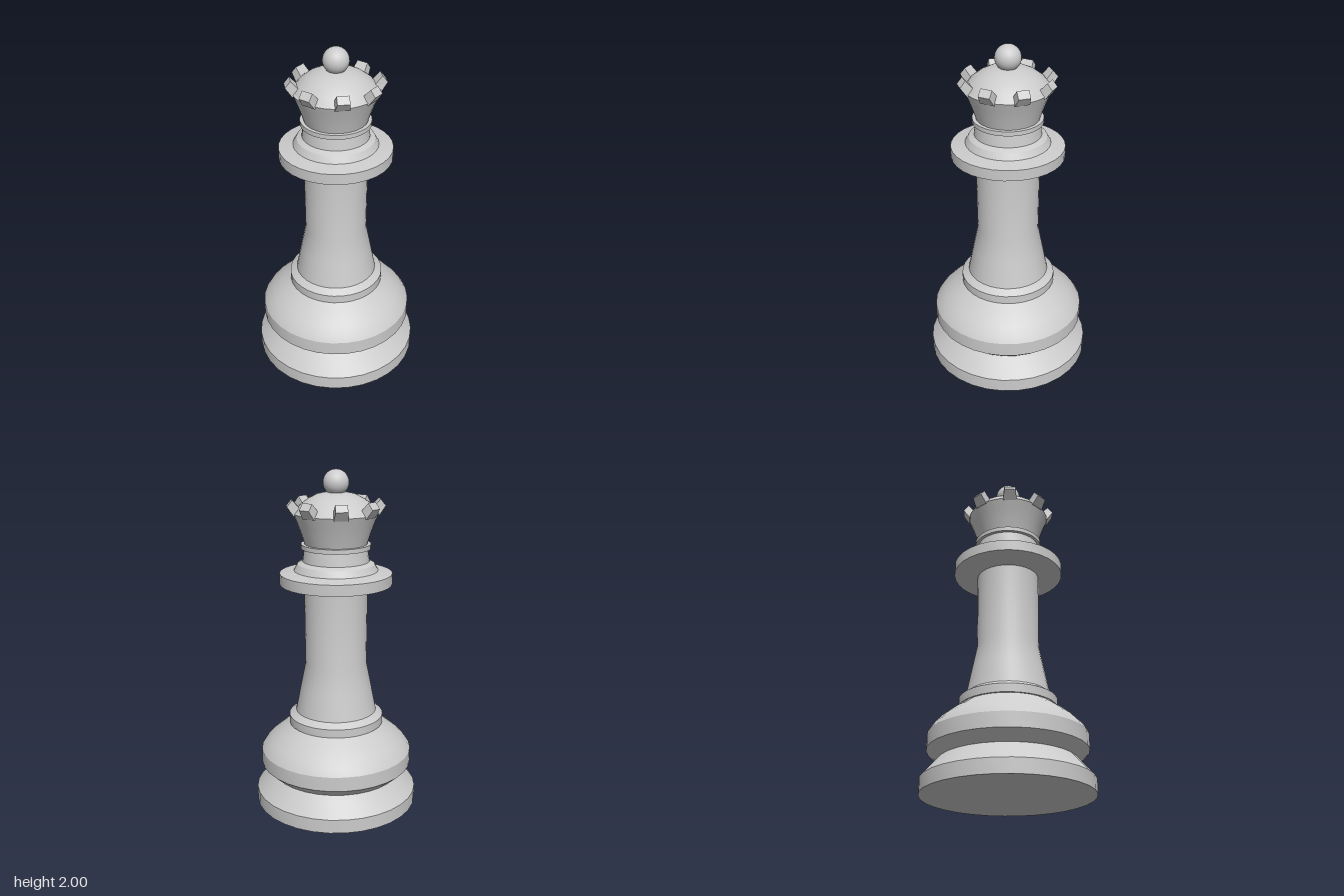
import * as THREE from 'three';
import { toCreasedNormals } from 'three/addons/utils/BufferGeometryUtils.js';

const SEGMENTS = 32;
const material = new THREE.MeshStandardMaterial({ color: 0xcccccc });

function addMesh(parent, name, geometry) {
  const mesh = new THREE.Mesh(geometry, material);
  mesh.name = name;
  parent.add(mesh);
  return mesh;
}

// Turned part from [radius, height] pairs, listed bottom to top
function addTurned(parent, name, profile) {
  const points = profile.map(([r, y]) => new THREE.Vector2(r, y));
  return addMesh(parent, name, toCreasedNormals(new THREE.LatheGeometry(points, SEGMENTS), 0.5));
}

// Tapered crown tooth: a box whose corners are moved to an outward-leaning block
function toothGeometry() {
  const geometry = new THREE.BoxGeometry(1, 1, 1);
  const pos = geometry.attributes.position;
  for (let i = 0; i < pos.count; i++) {
    const upper = pos.getY(i) > 0;
    const outer = pos.getZ(i) > 0;
    const side = Math.sign(pos.getX(i));
    const halfWidth = upper ? 0.034 : 0.042;
    const [r, y] = upper
      ? (outer ? [0.279, 1.797] : [0.249, 1.834])
      : (outer ? [0.242, 1.745] : [0.19, 1.77]);
    pos.setXYZ(i, side * halfWidth, y, r);
  }
  const flat = geometry.toNonIndexed();
  flat.computeVertexNormals();
  return flat;
}

export function createModel() {
  const queen = new THREE.Group();
  queen.name = 'chessQueen';

  // Foot and rounded base
  addTurned(queen, 'foot', [[0, 0], [0.485, 0], [0.485, 0.083], [0.39, 0.19]]);
  addTurned(queen, 'base', [
    [0.39, 0.19], [0.452, 0.247], [0.452, 0.333], [0.43, 0.368],
    [0.39, 0.41], [0.335, 0.455], [0.27, 0.5],
  ]);
  addTurned(queen, 'baseRing', [[0.27, 0.5], [0.281, 0.5], [0.281, 0.55], [0.24, 0.578]]);

  // Flared stem
  addTurned(queen, 'stem', [[0.24, 0.578], [0.21, 0.73], [0.181, 0.875], [0.184, 1.335]]);

  // Collar, stepped neck and thin ring
  addTurned(queen, 'collar', [
    [0.18, 1.33], [0.235, 1.33], [0.325, 1.35], [0.325, 1.414], [0.243, 1.43],
  ]);
  addTurned(queen, 'neck', [
    [0.243, 1.43], [0.222, 1.468], [0.192, 1.483], [0.182, 1.556],
  ]);
  addTurned(queen, 'neckRing', [
    [0.17, 1.556], [0.201, 1.556], [0.201, 1.582], [0.18, 1.582],
  ]);

  // Flaring crown with a domed top
  addTurned(queen, 'crown', [
    [0.18, 1.582], [0.198, 1.64], [0.22, 1.7], [0.243, 1.757], [0.234, 1.765],
  ]);
  addTurned(queen, 'dome', [
    [0.234, 1.765], [0.205, 1.802], [0.16, 1.836], [0.11, 1.861], [0.06, 1.872], [0, 1.875],
  ]);

  // Ring of eight teeth around the crown
  const teeth = new THREE.Group();
  teeth.name = 'crownTeeth';
  queen.add(teeth);
  const tooth = toothGeometry();
  for (let i = 0; i < 8; i++) {
    addMesh(teeth, 'tooth', tooth).rotation.y = (i * Math.PI) / 4;
  }

  // Ball finial
  addMesh(queen, 'finial', new THREE.SphereGeometry(0.074, 24, 16)).position.y = 1.926;

  return queen;
}
